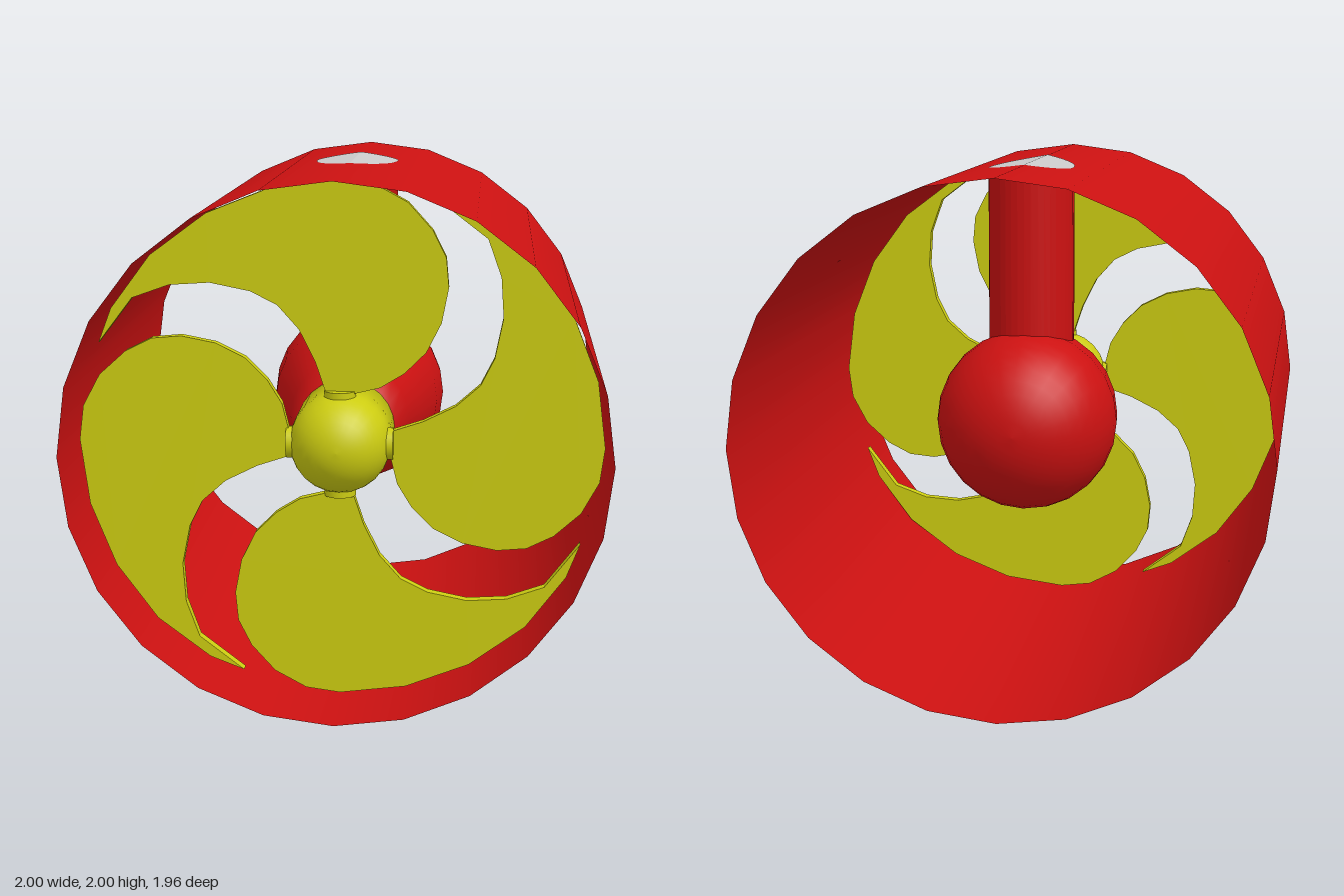
import * as THREE from 'three';

const red = new THREE.MeshStandardMaterial({ color: 0xcc1111 });
const redShell = new THREE.MeshStandardMaterial({ color: 0xcc1111, side: THREE.DoubleSide });
const yellow = new THREE.MeshStandardMaterial({ color: 0xcccc11 });
const grey = new THREE.MeshStandardMaterial({ color: 0xcccccc });

function add(parent, name, geometry, material) {
  const mesh = new THREE.Mesh(geometry, material);
  mesh.name = name;
  parent.add(mesh);
  return mesh;
}

// Profile of [z, radius] points spun around the z axis
function spin(profile) {
  const points = profile.map(([z, r]) => new THREE.Vector2(r, z));
  return new THREE.LatheGeometry(points, 24).rotateX(Math.PI / 2);
}

// Quarter arc of a sphere as [z, radius] points; dir -1 is the rear half, 1 the front half
function dome(z, r, dir, n = 10) {
  const arc = [];
  for (let i = 0; i <= n; i++) {
    const a = (i / n) * Math.PI / 2;
    arc.push([z + dir * r * Math.cos(a), r * Math.sin(a)]);
  }
  return dir < 0 ? arc : arc.reverse();
}

// Half of the strut's teardrop section, from the front point to the round rear
function teardropHalf(side) {
  const front = new THREE.QuadraticBezierCurve(
    new THREE.Vector2(0, -0.23), new THREE.Vector2(0.165, -0.06), new THREE.Vector2(0.165, 0.19));
  const points = front.getPoints(10);
  for (let i = 1; i <= 10; i++) {
    const a = (i / 10) * Math.PI / 2;
    points.push(new THREE.Vector2(0.165 * Math.cos(a), 0.19 + 0.165 * Math.sin(a)));
  }
  return points.map((p) => new THREE.Vector2(p.x * side, p.y));
}

// Height of the duct's top facets above x
const roofY = (x) => 1 - Math.tan(Math.PI / 24) * Math.abs(x);

function fitToRoof(geometry, lift) {
  const p = geometry.attributes.position;
  for (let i = 0; i < p.count; i++) {
    if (p.getY(i) > 0.5) p.setY(i, roofY(p.getX(i)) + lift);
  }
  return geometry;
}

export function createModel() {
  const model = new THREE.Group();
  model.name = 'ductedFan';
  const body = new THREE.Group();
  body.name = 'fanBody';
  body.position.y = 1;
  model.add(body);

  // Thin open duct
  add(body, 'duct', new THREE.CylinderGeometry(1, 1, 1.96, 24, 1, true).rotateX(Math.PI / 2), redShell);

  // Motor pod: round at the rear, narrowing towards the rotor
  add(body, 'motorPod', spin([
    ...dome(-0.28, 0.355, -1), [-0.1, 0.335], [0.1, 0.275], [0.25, 0.235], [0.42, 0.19], [0.42, 0],
  ]), red);

  // Teardrop strut from the pod up to the duct
  const outline = [...teardropHalf(1), ...teardropHalf(-1).reverse().slice(1, -1)];
  const strut = new THREE.ExtrudeGeometry(new THREE.Shape(outline), {
    depth: 1, bevelEnabled: false, curveSegments: 1,
  }).rotateX(-Math.PI / 2);
  add(body, 'strut', fitToRoof(strut, 0), red);

  // Strut end cap lying on the duct, one half per facet
  for (const side of [1, -1]) {
    const cap = new THREE.ShapeGeometry(new THREE.Shape(teardropHalf(side)));
    cap.rotateX(-Math.PI / 2).translate(0, 1, 0);
    add(body, side > 0 ? 'strutCapLeft' : 'strutCapRight', fitToRoof(cap, 0.002), grey).geometry.computeVertexNormals();
  }

  // Rotor: round-nosed hub with four curved blades
  const rotor = new THREE.Group();
  rotor.name = 'rotor';
  body.add(rotor);
  add(rotor, 'hub', spin([[0.41, 0], [0.41, 0.19], ...dome(0.66, 0.19, 1)]), yellow);

  const bladeShape = new THREE.Shape([
    [-0.9, 0.37], [-0.77, 0.54], [-0.63, 0.59], [-0.48, 0.6], [-0.33, 0.57], [-0.23, 0.52],
    [-0.15, 0.43], [-0.09, 0.31], [-0.05, 0.19], [0.05, 0.19], [0.15, 0.215], [0.24, 0.27],
    [0.32, 0.35], [0.375, 0.46], [0.4, 0.59], [0.39, 0.7], [0.34, 0.8], [0.25, 0.9],
    [0.13, 0.965], [0, 0.982], [-0.25, 0.95], [-0.49, 0.855], [-0.7, 0.7], [-0.85, 0.5],
  ].map(([x, y]) => new THREE.Vector2(x, y)));
  const bladeGeometry = new THREE.ExtrudeGeometry(bladeShape, { depth: 0.04, bevelEnabled: false })
    .translate(0, 0, 0.65);
  const rootGeometry = new THREE.CylinderGeometry(0.06, 0.06, 0.06, 20).translate(0, 0.17, 0.67);

  for (let i = 0; i < 4; i++) {
    const arm = new THREE.Group();
    arm.name = `bladeArm${i + 1}`;
    arm.rotation.z = i * Math.PI / 2;
    add(arm, 'blade', bladeGeometry, yellow);
    add(arm, 'bladeRoot', rootGeometry, yellow);
    rotor.add(arm);
  }
  return model;
}
